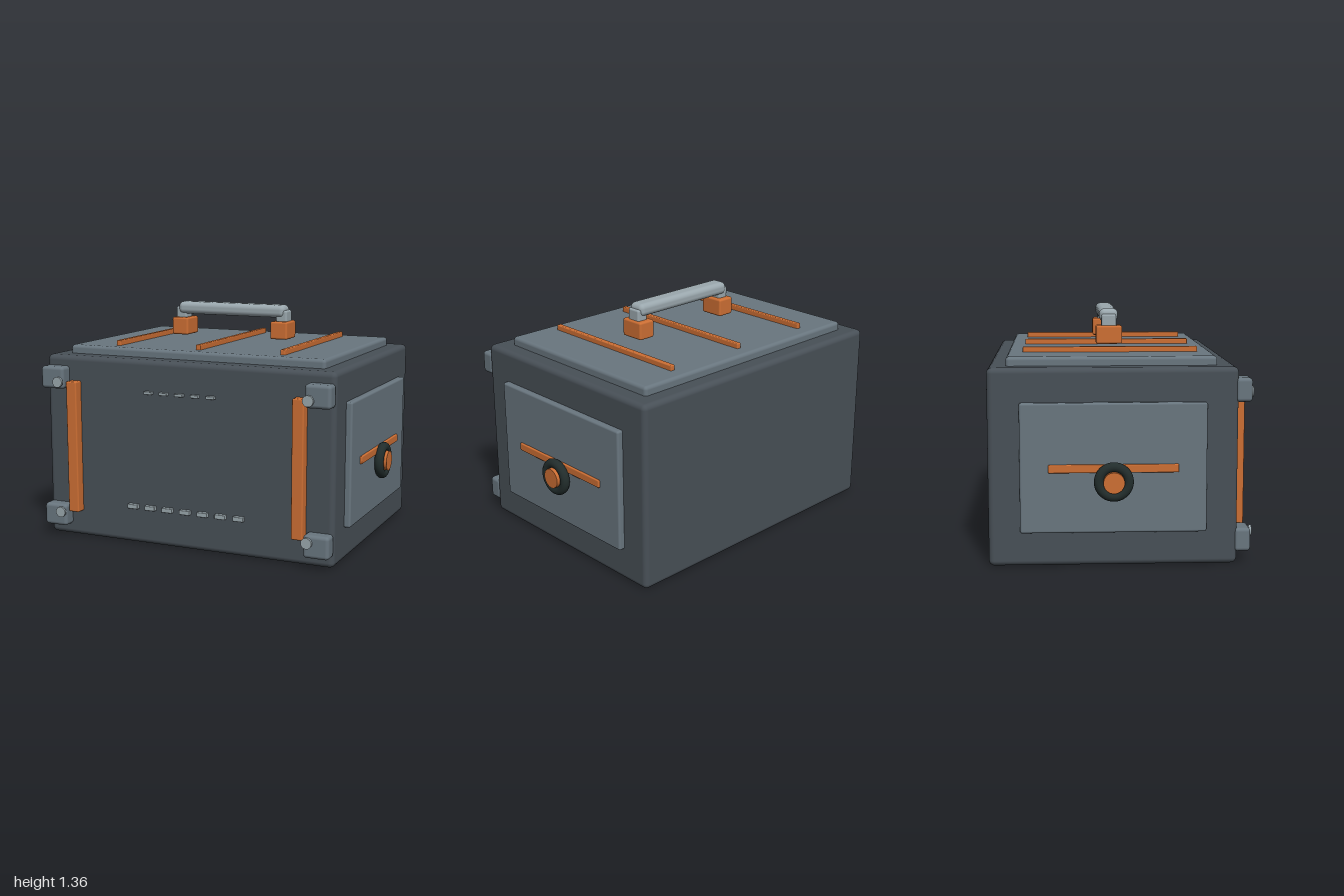
import * as THREE from 'three';
import { RoundedBoxGeometry } from 'three/addons/geometries/RoundedBoxGeometry.js';

const mat = (name, color) => {
  const m = new THREE.MeshStandardMaterial({ color });
  m.name = name;
  return m;
};

export function createModel() {
  const shell = mat('dark slate', 0x485057);
  const panel = mat('slate', 0x69767f);
  const accent = mat('orange', 0xcd6f34);
  const metal = mat('light metal', 0x9ba8ae);
  const rubber = mat('black rubber', 0x222d2c);

  const model = new THREE.Group();
  model.name = 'case';
  const Z = -0.045; // middle of the body

  const add = (name, geometry, material, x, y, z) => {
    const mesh = new THREE.Mesh(geometry, material);
    mesh.name = name;
    mesh.position.set(x, y, z);
    model.add(mesh);
    return mesh;
  };
  // Rounded box from its centre and size
  const box = (name, material, [x, y, z], [w, h, d], r = 0.01) =>
    add(name, new RoundedBoxGeometry(w, h, d, 3, r), material, x, y, z);

  // Body and lid
  box('body', shell, [0, 0.54, Z], [1.8, 1.08, 1.35], 0.03);
  box('lidPanel', panel, [0, 1.095, -0.048], [1.6, 0.07, 1.146], 0.02);
  for (const x of [-0.52, 0, 0.52])
    box('lidRib', accent, [x, 1.14, Z], [0.03, 0.04, 0.98], 0.006);

  // Carrying handle
  box('handleGrip', metal, [0, 1.323, -0.046], [0.7, 0.075, 0.108], 0.03);

  for (const s of [-1, 1]) {
    box('handleBlock', accent, [s * 0.325, 1.213, Z], [0.108, 0.105, 0.15], 0.012);
    box('handlePost', metal, [s * 0.33, 1.285, Z], [0.07, 0.09, 0.086], 0.012);

    // Side panel with strip and wheel
    box('sidePanel', panel, [s * 0.905, 0.543, Z], [0.06, 0.706, 1.006], 0.012);
    box('sideStrip', accent, [s * 0.935, 0.543, Z], [0.024, 0.045, 0.7], 0.006);
    const tyre = add('tyre', new THREE.TorusGeometry(0.08, 0.027, 16, 40), rubber, s * 0.963, 0.475, Z);
    tyre.rotation.y = Math.PI / 2;
    const hub = add('hub', new THREE.CylinderGeometry(0.057, 0.057, 0.07, 32), accent, s * 0.965, 0.475, Z);
    hub.rotation.z = Math.PI / 2;

    // Front strip, corner brackets and bolts
    box('frontStrip', accent, [s * 0.706, 0.545, 0.65], [0.068, 0.78, 0.075], 0.008);
    for (const [y, boltY] of [[0.955, 0.933], [0.131, 0.155]]) {
      box('cornerBracket', panel, [s * 0.822, y, 0.66], [0.15, 0.13, 0.09], 0.02);
      const stem = add('boltStem', new THREE.CylinderGeometry(0.024, 0.024, 0.03, 24), metal, s * 0.775, boltY, 0.707);
      const head = add('boltHead', new THREE.CylinderGeometry(0.031, 0.031, 0.014, 24), metal, s * 0.775, boltY, 0.718);
      stem.rotation.x = head.rotation.x = Math.PI / 2;
    }
  }

  // Rows of small tabs on the front
  for (let i = 0; i < 5; i++)
    box('upperTab', metal, [-0.22 + i * 0.098, 0.896, 0.64], [0.05, 0.017, 0.03], 0.003);
  for (let i = 0; i < 7; i++)
    box('lowerTab', metal, [-0.327 + i * 0.1115, 0.221, 0.64], [0.066, 0.026, 0.03], 0.003);

  return model;
}
